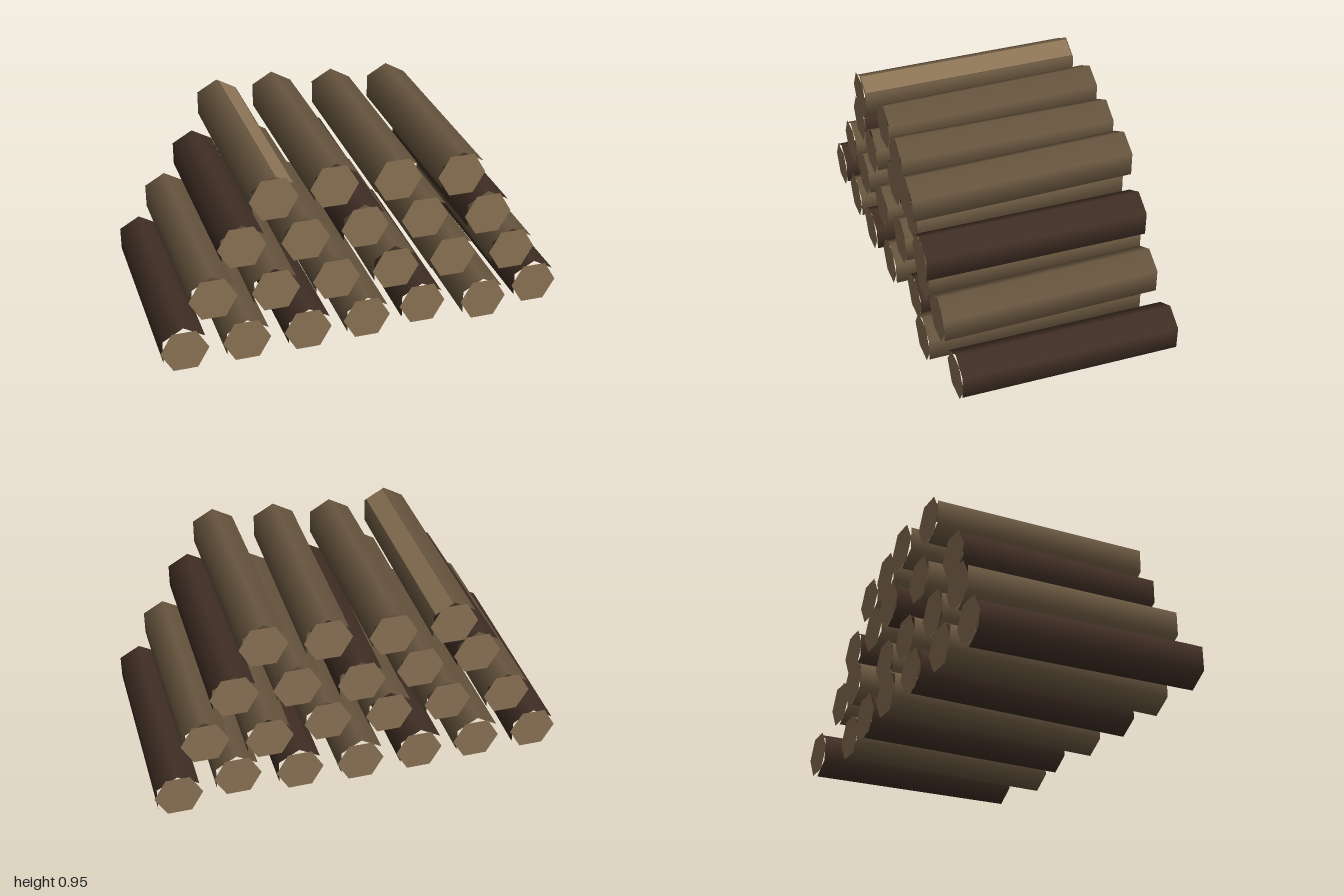
import * as THREE from 'three';

const RADIUS = 0.115, SPACING = 0.294, ROW_HEIGHT = 0.236;

// Back and front end (z) of each log, row by row from the ground, left to right
const ROWS = [
  [[-0.55, 0.555], [-0.55, 0.555], [-0.56, 0.555], [-0.56, 0.54], [-0.545, 0.5], [-0.51, 0.55], [-0.57, 0.485]],
  [[-0.535, 0.53], [-0.52, 0.54], [-0.53, 0.53], [-0.51, 0.52], [-0.56, 0.5], [-0.515, 0.52]],
  [[-0.49, 0.51], [-0.53, 0.53], [-0.56, 0.5], [-0.52, 0.5], [-0.51, 0.55]],
  [[-0.55, 0.535], [-0.56, 0.5], [-0.52, 0.525], [-0.49, 0.565]],
];

function material(name, color) {
  const m = new THREE.MeshStandardMaterial({ color });
  m.name = name;
  return m;
}

function seeded(seed) {
  return () => {
    seed = (seed * 16807) % 2147483647;
    return seed / 2147483647;
  };
}

export function createModel() {
  const model = new THREE.Group();
  model.name = 'logPile';
  const lightBark = material('lightBark', 0x68563f);
  const darkBark = material('darkBark', 0x412f25);
  const cutWood = material('cutWood', 0x8b7355);
  const random = seeded(41);

  // Six-sided open bark tube along z, with a corner pointing up
  const barkGeometry = new THREE.CylinderGeometry(RADIUS, RADIUS, 1, 6, 1, true).rotateX(Math.PI / 2);
  // Cut end, turned by half a side against the bark
  const endGeometry = new THREE.CircleGeometry(RADIUS, 6);

  ROWS.forEach((row, r) => row.forEach(([back, front], i) => {
    const log = new THREE.Group();
    log.name = `log${r + 1}_${i + 1}`;
    const length = front - back;
    log.position.set((i - (row.length - 1) / 2) * SPACING, 0.133 + r * ROW_HEIGHT, (front + back) / 2);

    // Bark, slightly crooked
    const dark = r % 2 === 0 && i % 2 === 0;
    const bark = new THREE.Mesh(barkGeometry, dark ? darkBark : lightBark);
    bark.name = 'bark';
    bark.scale.z = length;
    bark.rotation.set((random() - 0.5) * 0.024, (random() - 0.5) * 0.024, 0);
    log.add(bark);

    // Cut ends
    for (const side of [1, -1]) {
      const end = new THREE.Mesh(endGeometry, cutWood);
      end.name = side > 0 ? 'frontEnd' : 'backEnd';
      end.position.z = side * (length / 2 + 0.002);
      if (side < 0) end.rotation.y = Math.PI;
      log.add(end);
    }

    // Peeled strip on the upper side of the first top log
    if (r === 3 && i === 0) {
      const strip = new THREE.Mesh(new THREE.BoxGeometry(0.095, 0.004, length - 0.01), cutWood);
      strip.name = 'peeledStrip';
      const apothem = RADIUS * Math.cos(Math.PI / 6) + 0.001;
      strip.position.set(apothem * Math.sin(Math.PI / 6), apothem * Math.cos(Math.PI / 6), 0);
      strip.rotation.z = -Math.PI / 6;
      bark.rotation.set(0, 0, 0);
      log.add(strip);
    }
    model.add(log);
  }));

  // Rest the pile on the ground and centre it
  const box = new THREE.Box3().setFromObject(model, true);
  const centre = box.getCenter(new THREE.Vector3());
  model.position.set(-centre.x, -box.min.y, -centre.z);
  return model;
}
